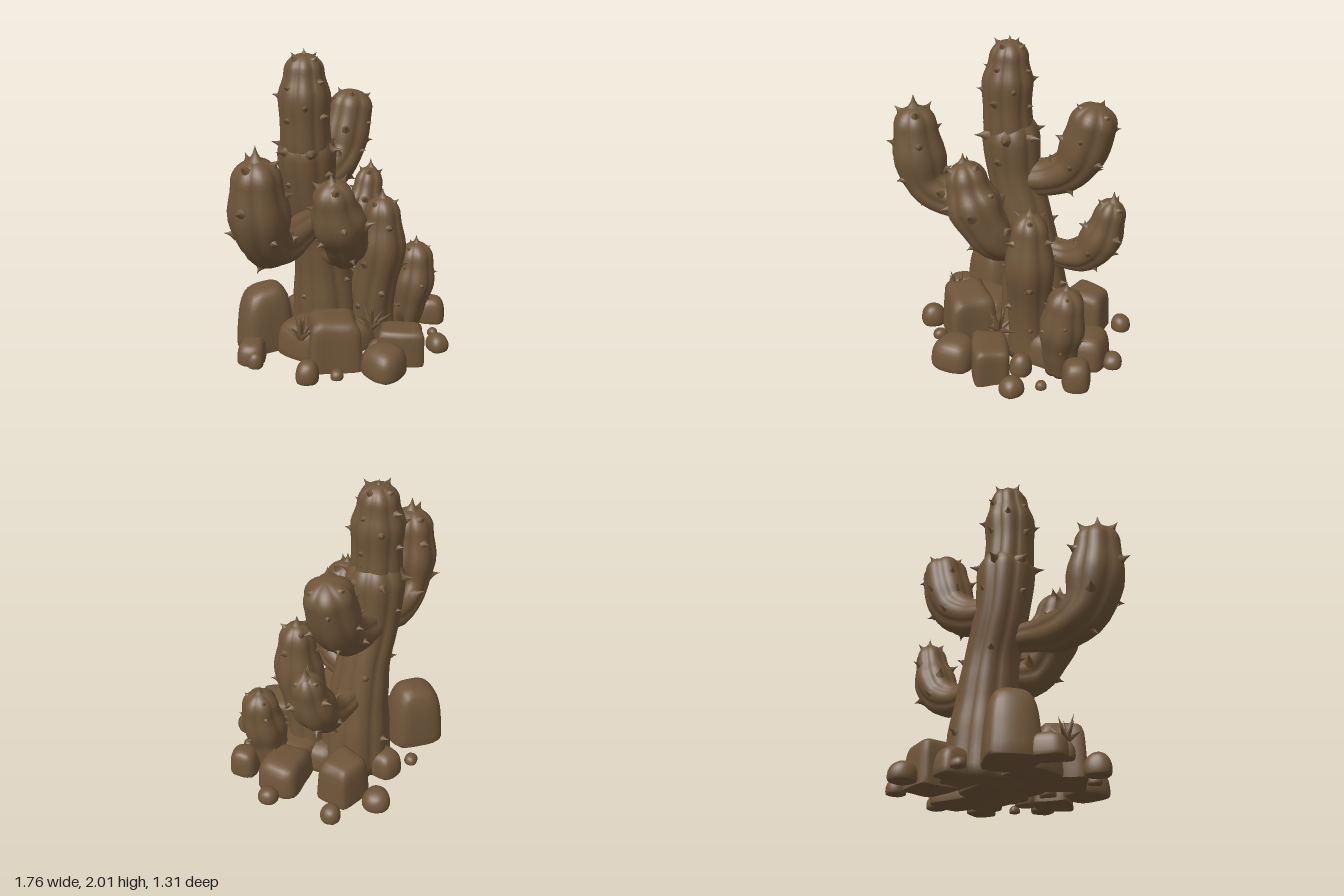
import * as THREE from 'three';
import { mergeVertices } from 'three/addons/utils/BufferGeometryUtils.js';

const brown = new THREE.MeshStandardMaterial({ color: 0x6e5539 });
brown.name = 'earth brown';

let seed = 7;
const rand = () => { seed = (seed * 16807) % 2147483647; return seed / 2147483647; };
const V = (p) => new THREE.Vector3(p[0], p[1], p[2]);
const UP = new THREE.Vector3(0, 1, 0);

// Concave thorn, one unit tall
const thornGeometry = new THREE.LatheGeometry(
  [[0.7, -0.25], [0.38, 0.1], [0.18, 0.42], [0.08, 0.75], [0, 1]].map(p => new THREE.Vector2(p[0], p[1])), 7);

function addThorn(group, pos, dir, size) {
  const m = new THREE.Mesh(thornGeometry, brown);
  m.name = 'thorn';
  m.position.copy(pos);
  m.quaternion.setFromUnitVectors(UP, dir);
  m.scale.setScalar(size);
  group.add(m);
}

// Ribbed, domed cactus limb along a curve, with thorns on its ribs
function limb(name, points, radii, { thorn = 0.045, tip = 0.06, rows = 3, ribs = 6, from = 0.2, flat = 1, depth = 0.13 } = {}) {
  const group = new THREE.Group();
  group.name = name;
  const curve = new THREE.CatmullRomCurve3(points.map(V), false, 'centripetal');
  const length = curve.getLength(), STEPS = 120, SIDES = ribs * 8;
  const frames = curve.computeFrenetFrames(STEPS);
  const endR = radii[radii.length - 1], dome = endR * flat;
  const radiusAt = (t) => {
    const f = t * (radii.length - 1), i = Math.min(Math.floor(f), radii.length - 2);
    const k = f - i, s = k * k * (3 - 2 * k);
    return radii[i] + (radii[i + 1] - radii[i]) * s;
  };
  const surface = (t, a, r) => {
    const i = Math.round(t * STEPS);
    const dir = frames.normals[i].clone().multiplyScalar(Math.cos(a)).addScaledVector(frames.binormals[i], Math.sin(a));
    const rib = 1.04 - depth + depth * Math.pow(Math.abs(Math.cos(a * ribs / 2)), 0.8);
    return { pos: curve.getPointAt(t).addScaledVector(dir, r * rib), dir, tangent: frames.tangents[i] };
  };
  // Rings: closed base, body, dome
  const bodyEnd = 1 - dome / length, rings = [[0, 0]];
  for (let i = 0; i <= 18; i++) rings.push([bodyEnd * i / 18, radiusAt(i / 18)]);
  for (let i = 1; i <= 8; i++) {
    const u = i / 8 * Math.PI / 2;
    rings.push([Math.min(1, bodyEnd + (1 - bodyEnd) * Math.sin(u)), endR * Math.max(0, Math.cos(u))]);
  }
  const pos = [], index = [];
  rings.forEach(([t, r], i) => {
    for (let j = 0; j < SIDES; j++) {
      pos.push(...surface(t, j / SIDES * Math.PI * 2, r).pos.toArray());
      if (i === rings.length - 1) continue;
      const k = (j + 1) % SIDES, a = i * SIDES + j, b = i * SIDES + k;
      index.push(a, b, a + SIDES, b, b + SIDES, a + SIDES);
    }
  });
  const g = new THREE.BufferGeometry();
  g.setAttribute('position', new THREE.Float32BufferAttribute(pos, 3));
  g.setIndex(index);
  g.computeVertexNormals();
  const body = new THREE.Mesh(g, brown);
  body.name = name + 'Body';
  group.add(body);
  // Thorns along the ribs
  for (let row = 0; row < rows; row++) {
    for (let k = row % 2; k < ribs; k += 2) {
      const f = Math.min(1, from + (1 - from) * (row + 0.2 + rand() * 0.6) / rows);
      const s = surface(f * bodyEnd, k / ribs * Math.PI * 2, radiusAt(f));
      addThorn(group, s.pos, s.dir.addScaledVector(s.tangent, 0.25).normalize(), thorn * (0.65 + rand() * 0.5));
    }
  }
  // Crown thorns and tip
  for (let k = 0; k < ribs; k += 2) {
    const s = surface(bodyEnd + (1 - bodyEnd) * 0.72, k / ribs * Math.PI * 2, endR * 0.69);
    addThorn(group, s.pos, s.dir.addScaledVector(s.tangent, 0.9).normalize(), thorn * 0.8);
  }
  if (tip) addThorn(group, curve.getPointAt(1), UP, tip);
  return group;
}

// Rounded stone with a flat underside; p sets how boxy it is
function rock(x, z, w, h, d, { p = 4, turn = 0, base = 0.02, taper = 0.12 } = {}) {
  let g = new THREE.BoxGeometry(2, 2, 2, 8, 8, 8);
  g.deleteAttribute('uv');
  g.deleteAttribute('normal');
  g = mergeVertices(g);
  const a = g.attributes.position, ph = rand() * 6, lean = (rand() - 0.5) * 0.2;
  for (let i = 0; i < a.count; i++) {
    const v = new THREE.Vector3().fromBufferAttribute(a, i);
    v.divideScalar(Math.pow(Math.abs(v.x) ** p + Math.abs(v.y) ** p + Math.abs(v.z) ** p, 1 / p));
    const y = (Math.max(v.y, -0.5) + 0.5) / 1.5;
    const k = (1 - taper * y) * (1 + 0.06 * Math.sin(2.3 * v.x + ph) + 0.06 * Math.sin(2.7 * v.z + 2 * ph));
    a.setXYZ(i, v.x * k * w / 2, y * h * (1 + lean * v.x * 0.6), v.z * k * d / 2);
  }
  g.computeVertexNormals();
  const m = new THREE.Mesh(g, brown);
  m.name = 'rock';
  m.position.set(x, base, z);
  m.rotation.y = turn;
  return m;
}

// Tuft of pointed leaves
function tuft(x, y, z, size) {
  const group = new THREE.Group();
  group.name = 'leafTuft';
  const leaf = new THREE.ConeGeometry(0.15, 1, 5).translate(0, 0.5, 0);
  for (let i = 0; i < 9; i++) {
    const a = i * 2.4, tilt = 0.15 + i * 0.13;
    const m = new THREE.Mesh(leaf, brown);
    m.name = 'leaf';
    m.quaternion.setFromUnitVectors(UP, V([Math.cos(a) * Math.sin(tilt), Math.cos(tilt), Math.sin(a) * Math.sin(tilt)]));
    m.scale.set(size, size * (0.8 + rand() * 0.4), size);
    group.add(m);
  }
  group.position.set(x, y, z);
  return group;
}

export function createModel() {
  const model = new THREE.Group();
  model.name = 'cactusOnRocks';

  // Trunk and its upper segment
  model.add(
    limb('trunk', [[0.135, 0.02, -0.17], [0.11, 0.4, -0.17], [0.05, 0.8, -0.17], [-0.04, 1.1, -0.17], [-0.075, 1.52, -0.16]],
      [0.235, 0.215, 0.185, 0.165, 0.165, 0.18], { ribs: 8, tip: 0, from: 0.15, depth: 0.1 }),
    limb('upperTrunk', [[-0.07, 1.25, -0.16], [-0.09, 1.6, -0.155], [-0.08, 1.98, -0.165]],
      [0.13, 0.155, 0.15, 0.158, 0.12], { ribs: 8, tip: 0.03, from: 0.45, flat: 0.9, depth: 0.1 }),
  );

  // Large thorns round the shoulder of the trunk
  const collar = new THREE.Group();
  collar.name = 'shoulderThorns';
  for (let i = 0; i < 6; i++) {
    const a = i / 6 * Math.PI * 2 + 0.15, dir = V([Math.cos(a), 0.15, Math.sin(a)]).normalize();
    addThorn(collar, V([-0.07, 1.36, -0.16]).addScaledVector(dir, 0.17), dir, 0.075);
  }
  model.add(collar);

  // Arms
  model.add(
    limb('rightArm', [[-0.02, 0.93, -0.1], [-0.25, 0.9, -0.05], [-0.46, 0.88, -0.035], [-0.61, 0.97, 0], [-0.665, 1.16, 0.02], [-0.69, 1.5, 0.03]],
      [0.08, 0.1, 0.13, 0.15, 0.18, 0.145], { tip: 0.08, thorn: 0.065, from: 0.4, flat: 0.95 }),
    limb('leftArm', [[0, 1.08, -0.19], [0.2, 1.12, -0.22], [0.35, 1.22, -0.24], [0.43, 1.4, -0.25], [0.49, 1.64, -0.25]],
      [0.11, 0.12, 0.135, 0.155, 0.145], { tip: 0, from: 0.35, flat: 0.8, rows: 4 }),
    limb('frontArm', [[0.06, 0.68, -0.08], [0.0, 0.74, 0.1], [-0.08, 0.88, 0.16], [-0.16, 1.05, 0.17], [-0.21, 1.27, 0.175]],
      [0.1, 0.125, 0.145, 0.172, 0.13], { tip: 0.06, from: 0.3, thorn: 0.06 }),
    limb('lowLeftArm', [[0.14, 0.62, -0.19], [0.34, 0.6, -0.2], [0.49, 0.66, -0.21], [0.58, 0.8, -0.215], [0.645, 1.06, -0.22]],
      [0.08, 0.09, 0.115, 0.133, 0.1], { tip: 0.06, from: 0.4, flat: 1.2 }),
  );

  // Separate front columns
  model.add(
    limb('frontColumn', [[0.27, 0.02, 0.11], [0.26, 0.35, 0.13], [0.28, 0.7, 0.18], [0.28, 1.04, 0.18]],
      [0.16, 0.145, 0.145, 0.158, 0.115], { tip: 0.06, from: 0.2, flat: 1.1, rows: 4 }),
    limb('shortColumn', [[0.53, 0.02, 0.2], [0.54, 0.25, 0.235], [0.57, 0.45, 0.25], [0.58, 0.64, 0.245]],
      [0.1, 0.115, 0.142, 0.115], { tip: 0.05, from: 0.3, thorn: 0.03 }),
  );

  // Large rocks
  model.add(
    rock(-0.3, -0.335, 0.36, 0.43, 0.35, { p: 3.6, turn: -0.5, taper: 0.2 }),
    rock(-0.19, 0.17, 0.34, 0.34, 0.3, { p: 7, turn: -0.7 }),
    rock(0.165, 0.45, 0.22, 0.235, 0.31, { p: 9, turn: 0.65, base: 0, taper: 0.02 }),
    rock(-0.065, 0.495, 0.28, 0.19, 0.27, { p: 2.8 }),
    rock(0.59, 0.05, 0.34, 0.21, 0.31, { p: 4, turn: 0.3 }),
    rock(0.45, -0.33, 0.28, 0.29, 0.25, { p: 6 }),
    rock(0.12, -0.41, 0.2, 0.17, 0.2, { p: 3 }),
    rock(-0.51, -0.25, 0.22, 0.14, 0.2, { p: 3, turn: 0.6 }),
    rock(0.2, 0.02, 0.5, 0.18, 0.44),
    rock(0.42, 0.12, 0.26, 0.2, 0.34),
    rock(-0.17, -0.06, 0.34, 0.22, 0.34),
    rock(0.7, 0.31, 0.19, 0.18, 0.18, { p: 3, turn: 0.5 }),
  );

  // Scattered stones: x, z, width, height
  [[-0.46, 0.2, 0.16, 0.14], [-0.32, 0.32, 0.09, 0.06], [0.34, 0.38, 0.14, 0.14], [0.4, 0.58, 0.15, 0.11],
    [0.53, 0.45, 0.07, 0.05], [0.8, 0, 0.13, 0.09], [0.66, -0.41, 0.13, 0.1], [0.385, -0.56, 0.18, 0.12],
    [-0.06, -0.5, 0.09, 0.06], [-0.57, -0.16, 0.1, 0.1], [0.08, 0.32, 0.12, 0.1]]
    .forEach(([x, z, w, h]) => model.add(rock(x, z, w, h, w * 1.05, { p: 2.2, turn: rand() * 3 })));

  // Leaf tufts between the rocks
  model.add(tuft(0.1, 0.18, 0.25, 0.16), tuft(-0.36, 0.22, 0.05, 0.15));

  return model;
}
